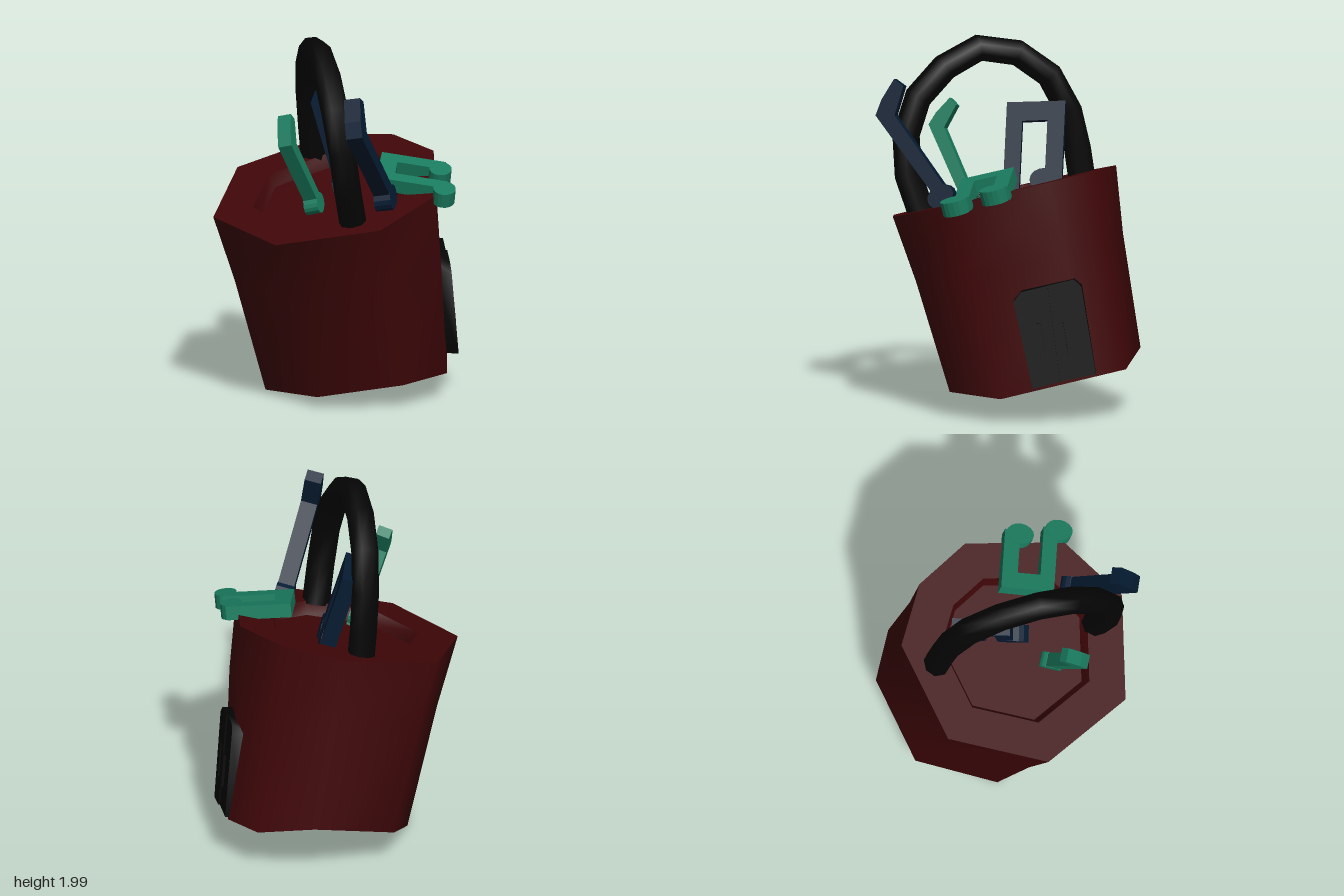
import * as THREE from 'three';
import { toCreasedNormals } from 'three/addons/utils/BufferGeometryUtils.js';

const V = (x, y, z) => new THREE.Vector3(x, y, z);
const material = (name, color) => {
  const m = new THREE.MeshStandardMaterial({ color });
  m.name = name;
  return m;
};
const mesh = (name, geometry, mat) => {
  const m = new THREE.Mesh(geometry, mat);
  m.name = name;
  return m;
};

// Skin a stack of equal rings and close both ends
function loft(rings) {
  const n = rings[0].length, pos = [], idx = [];
  rings.flat().forEach(p => pos.push(p.x, p.y, p.z));
  const centre = ring => {
    const c = V(0, 0, 0);
    ring.forEach(p => c.addScaledVector(p, 1 / n));
    pos.push(c.x, c.y, c.z);
    return pos.length / 3 - 1;
  };
  const low = centre(rings[0]), high = centre(rings[rings.length - 1]);
  const last = (rings.length - 1) * n;
  for (let i = 0; i < n; i++) {
    const j = (i + 1) % n;
    for (let r = 0; r < last; r += n) idx.push(r + i, r + j, r + n + j, r + i, r + n + j, r + n + i);
    idx.push(j, i, low, last + i, last + j, high);
  }
  const g = new THREE.BufferGeometry();
  g.setAttribute('position', new THREE.Float32BufferAttribute(pos, 3));
  g.setIndex(idx);
  return toCreasedNormals(g, 1.08);
}

// Flat outline extruded evenly about its own plane
const slab = (shape, depth) => {
  const g = new THREE.ExtrudeGeometry(shape, { depth, bevelEnabled: false, curveSegments: 8 });
  return g.translate(0, 0, -depth / 2);
};
const outline = pts => new THREE.Shape(pts.map(p => new THREE.Vector2(p[0], p[1])));
const oval = (x, y, rx, ry) => {
  const s = new THREE.Shape();
  s.absellipse(x, y, rx, ry, 0, Math.PI * 2, false, 0);
  return s;
};

// Musical note: v runs down the stem, u runs across it
function note(name, mat, origin, u, v, scale, depth, body, heads) {
  const g = new THREE.Group();
  g.name = name;
  g.add(mesh('noteStem', slab(outline(body), depth), mat));
  heads.forEach(([x, y]) => g.add(mesh('noteHead', slab(oval(x, y, 0.075, 0.06), depth * 1.05), mat)));
  const vd = v.clone().normalize();
  const ud = u.clone().addScaledVector(vd, -u.dot(vd)).normalize();
  g.applyMatrix4(new THREE.Matrix4().makeBasis(ud, vd, ud.clone().cross(vd)));
  g.position.copy(origin);
  g.scale.setScalar(scale);
  return g;
}

export function createModel() {
  const red = material('dark red', 0x400608);
  const black = material('black', 0x040404);
  const blue = material('navy blue', 0x051c33);
  const green = material('sea green', 0x1a7b5e);
  const model = new THREE.Group();
  model.name = 'noteBucket';

  // Tilted eight-sided bucket with a shallow recess in its top
  const rimY = (x, z) => 1.172 + 0.147 * x - 0.24 * z;
  const up = V(-0.141, 0.962, 0.231);
  const bottom = [[-0.41, 0, -0.05], [-0.09, 0.06, 0.31], [0.37, 0.135, 0.295], [0.575, 0.135, 0.01],
    [0.52, 0.255, -0.5], [0.35, 0.265, -0.65], [0.04, 0.33, -0.71], [-0.37, 0.205, -0.49]].map(p => V(...p));
  const rim = [[-0.66, 0.23], [-0.28, 0.635], [0.28, 0.605], [0.535, 0.29],
    [0.475, -0.24], [0.23, -0.48], [-0.11, -0.57], [-0.59, -0.31]].map(([x, z]) => V(x, rimY(x, z), z));
  const belly = V(0.0, 0.75, -0.05);
  const middle = bottom.map((p, i) => p.clone().lerp(rim[i], 0.63).lerp(belly, i === 3 ? -0.025 : 0.02));
  const hub = V(-0.05, rimY(-0.05, 0.06), 0.06);
  const lip = rim.map(p => p.clone().lerp(hub, 0.34));
  const floor = lip.map(p => p.clone().lerp(hub, 0.07).addScaledVector(up, -0.07));
  model.add(mesh('bucket', loft([bottom, middle, rim, lip, floor]), red));

  // Arched carrying handle
  const arch = new THREE.CatmullRomCurve3([
    [0.12, 1.06, 0.46], [0.1, 1.25, 0.53], [0.08, 1.42, 0.55], [0.04, 1.62, 0.515], [-0.02, 1.81, 0.37],
    [-0.1, 1.925, 0.17], [-0.16, 1.885, -0.05], [-0.2, 1.71, -0.25], [-0.2, 1.45, -0.34], [-0.18, 1.15, -0.39],
  ].map(p => V(...p)));
  model.add(mesh('handle', new THREE.TubeGeometry(arch, 10, 0.074, 8), black));

  // Side panel, sunk into the wall at its back edge and standing proud at its front edge
  const faceX = (y, z) => 0.618 + 0.2 * (z + 0.17) - 0.1 * (y - 0.2);
  const plate = (pts, out) => {
    const ring = dx => pts.map(([z, y]) => V(faceX(y, z) + dx, y, z));
    return loft([ring(-0.09), ring(out)]);
  };
  const panel = new THREE.Group();
  panel.name = 'sidePanel';
  panel.add(mesh('panelFront', plate([[-0.165, 0.2], [-0.31, 0.235], [-0.24, 0.75], [-0.1, 0.72], [-0.06, 0.67]], 0), black));
  panel.add(mesh('panelBack', plate([[-0.31, 0.235], [-0.5, 0.27], [-0.42, 0.74], [-0.38, 0.78], [-0.24, 0.75]], -0.008), black));
  [-0.2, -0.32].forEach(z => panel.add(mesh('panelRib',
    plate([[z - 0.01, 0.37], [z - 0.035, 0.37], [z - 0.005, 0.55], [z + 0.02, 0.55]], 0.006), black)));
  model.add(panel);

  // Beamed pairs of notes
  const pair = (a, b) => [[0, 0], [0.29, 0.02], [0.29, b], [0.21, b],
    [0.21, 0.11], [0.085, 0.1], [0.085, a], [0, a]];
  model.add(note('greenNotePair', green, V(0.215, 1.3, -0.05), V(0.05, -0.24, 0.97), V(0.98, -0.12, 0.04),
    1, 0.075, pair(0.35, 0.4), [[0.085, 0.335], [0.295, 0.395]]));
  model.add(note('blueNotePair', blue, V(-0.12, 1.635, -0.3), V(0.03, -0.12, 0.99), V(0.28, -0.95, 0.03),
    1.08, 0.08, pair(0.43, 0.5), [[0.085, 0.4], [0.29, 0.47]]));

  // Single notes with a short flag
  const single = [[-0.075, 0.03], [0, -0.02], [0.12, -0.07], [0.14, -0.01], [0.01, 0.09], [0.01, 0.61], [-0.065, 0.61]];
  model.add(note('blueNote', blue, V(0.145, 1.665, 0.655), V(0, 0.6, -0.8), V(0.14, -0.48, -0.36),
    1, 0.09, single, [[-0.04, 0.59]]));
  model.add(note('greenNote', green, V(-0.255, 1.525, 0.39), V(0, 0.6, -0.8), V(0.15, -0.43, -0.2),
    0.84, 0.09, single, [[-0.04, 0.55]]));
  return model;
}
